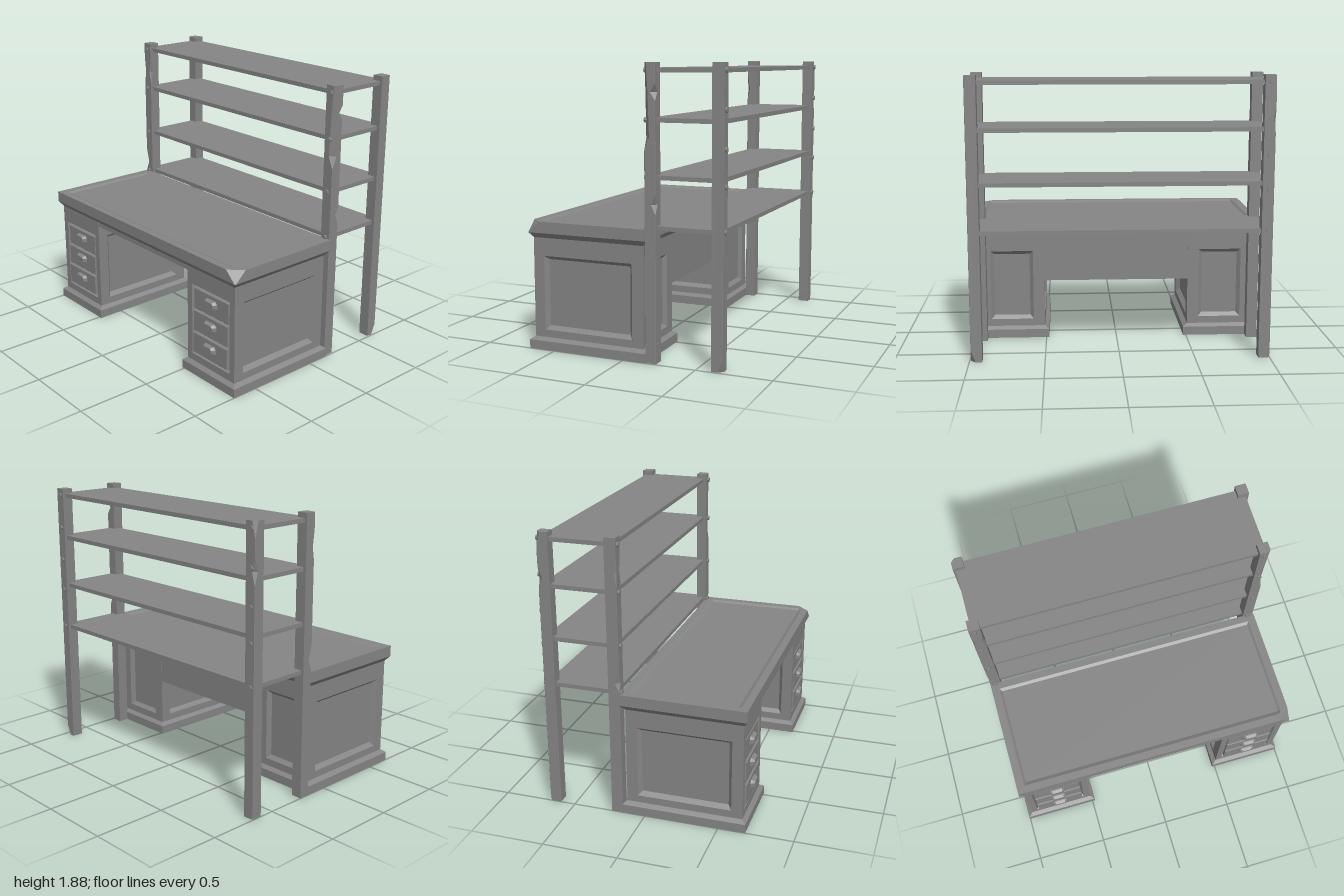
import * as THREE from 'three';

const material = new THREE.MeshStandardMaterial({ color: 0x858585, flatShading: true });

// Rectangle ring, counter-clockwise from above; the two +x corners may be cut.
function rect(x0, x1, z0, z1, y, cutFront = 0, cutBack = 0) {
  const front = cutFront ? [[x1 - cutFront, y, z1], [x1, y, z1 - cutFront]] : [[x1, y, z1]];
  const back = cutBack ? [[x1, y, z0 + cutBack], [x1 - cutBack, y, z0]] : [[x1, y, z0]];
  return [[x0, y, z1], ...front, ...back, [x0, y, z0]];
}

// Joins rings from bottom to top with flat faces and closes the ends.
function loft(rings, bottom = true) {
  const pos = [];
  const tri = (a, b, c) => pos.push(...a, ...b, ...c);
  const n = rings[0].length;
  for (let i = 0; i + 1 < rings.length; i++) {
    for (let j = 0; j < n; j++) {
      const k = (j + 1) % n, lo = rings[i], hi = rings[i + 1];
      tri(lo[j], lo[k], hi[k]);
      tri(lo[j], hi[k], hi[j]);
    }
  }
  const first = rings[0], last = rings[rings.length - 1];
  for (let j = 1; j + 1 < n; j++) {
    tri(last[0], last[j], last[j + 1]);
    if (bottom) tri(first[0], first[j + 1], first[j]);
  }
  const g = new THREE.BufferGeometry();
  g.setAttribute('position', new THREE.Float32BufferAttribute(pos, 3));
  g.computeVertexNormals();
  return g;
}

function add(parent, name, geometry, x = 0, y = 0, z = 0) {
  const mesh = new THREE.Mesh(geometry, material);
  mesh.name = name;
  mesh.position.set(x, y, z);
  parent.add(mesh);
  return mesh;
}

function box(parent, name, x0, x1, y0, y1, z0, z1) {
  add(parent, name, new THREE.BoxGeometry(x1 - x0, y1 - y0, z1 - z0),
    (x0 + x1) / 2, (y0 + y1) / 2, (z0 + z1) / 2);
}

// Upright face with a bevelled recessed panel, facing +z.
function framedFace(half, y0, y1, holeHalf, h0, h1, bevel, depth) {
  return loft([
    rect(-half, half, -y1, -y0, 0),
    rect(-holeHalf, holeHalf, -h1, -h0, 0),
    rect(-holeHalf + bevel, holeHalf - bevel, -h1 + bevel, -h0 - bevel, -depth),
  ], false).rotateX(Math.PI / 2);
}

// Drawer pull: a cup with sloping sides, facing +z.
function pullGeometry() {
  const ring = (w, h, d) => [
    [-w, d, h], [w, d, h], [w, d, -h * 0.3], [w * 0.7, d, -h], [-w * 0.7, d, -h], [-w, d, -h * 0.3],
  ];
  return loft([ring(0.06, 0.024, 0), ring(0.058, 0.023, 0.008), ring(0.045, 0.015, 0.028)])
    .rotateX(Math.PI / 2);
}

function pedestal(name, x) {
  const g = new THREE.Group();
  g.name = name;
  g.position.set(x, 0, 0.2625);
  const hx = 0.23, hz = 0.3925, y0 = 0.06, y1 = 0.75;

  add(g, 'plinth', loft([
    rect(-0.26, 0.26, -0.42, 0.42, 0),
    rect(-0.26, 0.26, -0.42, 0.42, 0.06),
    rect(-hx, hx, -hz, hz, 0.08),
  ]));
  add(g, 'frontFrame', framedFace(hx, y0, y1, 0.184, 0.13, 0.63, 0.012, 0.03), 0, 0, hz);
  add(g, 'backPanel', framedFace(hx, y0, y1, 0.15, 0.13, 0.625, 0.025, 0.025), 0, 0, -hz)
    .rotation.y = Math.PI;
  for (const s of [-1, 1]) {
    add(g, 'sidePanel', framedFace(hz, y0, y1, 0.318, 0.13, 0.625, 0.025, 0.03), s * hx)
      .rotation.y = s * Math.PI / 2;
  }

  // Three drawers with bevelled fronts, the lower ones standing out a little
  for (let i = 0; i < 3; i++) {
    const y = 0.222 + i * 0.157, out = 0.012 - i * 0.006;
    add(g, 'drawer', loft([
      rect(-0.171, 0.171, -0.074, 0.074, 0),
      rect(-0.171, 0.171, -0.074, 0.074, 0.02 + out),
      rect(-0.166, 0.166, -0.069, 0.069, 0.025 + out),
    ]).rotateX(Math.PI / 2), 0, y, hz - 0.03);
    add(g, 'drawerPull', pullGeometry(), 0, y + 0.02, hz - 0.006 + out);
  }
  return g;
}

// Square post with two worn corners: chips = [height, outer cut, other cut].
function post(parent, name, x, z, turn, chips) {
  const h = 0.0375, sharp = 0.002;
  const geometry = loft(chips.map(([y, a = sharp, b = sharp]) => rect(-h, h, -h, h, y, a, b)));
  add(parent, name, geometry, x, 0, z).rotation.y = turn * Math.PI / 2;
}

export function createModel() {
  const model = new THREE.Group();
  model.name = 'deskWithShelves';

  // Desk
  const desk = new THREE.Group();
  desk.name = 'desk';
  model.add(desk);
  desk.add(pedestal('leftPedestal', 0.74), pedestal('rightPedestal', -0.74));
  add(desk, 'desktop', loft([
    rect(-0.97, 0.97, -0.13, 0.655, 0.745, 0.002),
    rect(-1, 1, -0.16, 0.68, 0.78, 0.004),
    rect(-1, 1, -0.16, 0.68, 0.855, 0.085),
    rect(-0.945, 0.945, -0.11, 0.63, 0.855, 0.02),
    rect(-0.93, 0.93, -0.09, 0.605, 0.843, 0.002),
  ]));
  box(desk, 'apron', -0.515, 0.515, 0.71, 0.75, -0.1, 0.65);
  box(desk, 'modestyPanel', -0.515, 0.515, 0.41, 0.75, -0.128, -0.09);

  // Shelf rack
  const rack = new THREE.Group();
  rack.name = 'shelfRack';
  model.add(rack);
  const xLeft = 0.9525, xRight = -0.9615, zFront = -0.1925, zBack = -0.6375;
  post(rack, 'leftFrontPost', xLeft, zFront, 0, [
    [0], [0.95], [1.01, 0.002, 0.03], [1.07], [1.34], [1.42, 0.034],
    [1.65, 0.027], [1.7, 0.025, 0.034], [1.75, 0.022], [1.88, 0.015]]);
  post(rack, 'rightFrontPost', xRight, zFront, 3,
    [[0], [0.87], [0.93, 0.028], [1.04], [1.58], [1.66, 0.015, 0.02], [1.78], [1.88]]);
  post(rack, 'leftBackPost', xLeft, zBack, 1, [[0, 0.033], [0.075], [1.88]]);
  post(rack, 'rightBackPost', xRight, zBack, 2,
    [[0, 0.01], [0.06], [1.5], [1.58, 0.025], [1.66], [1.78], [1.88, 0.025]]);

  const shelfHeights = [0.863, 1.178, 1.53, 1.833];
  for (const y of shelfHeights) {
    box(rack, 'shelf', -0.981, 0.97, y - 0.014, y + 0.014, -0.657, -0.178);
  }

  // Bolts on the front and back of the posts
  const bolt = new THREE.CylinderGeometry(0.017, 0.017, 0.028, 8).rotateX(Math.PI / 2);
  for (const x of [-0.968, 0.953]) {
    for (const y of shelfHeights) add(rack, 'frontBolt', bolt, x, y, -0.157);
    for (const y of [0.865, 1.14, 1.365, 1.6, 1.835]) add(rack, 'backBolt', bolt, x, y, -0.672);
  }
  return model;
}
